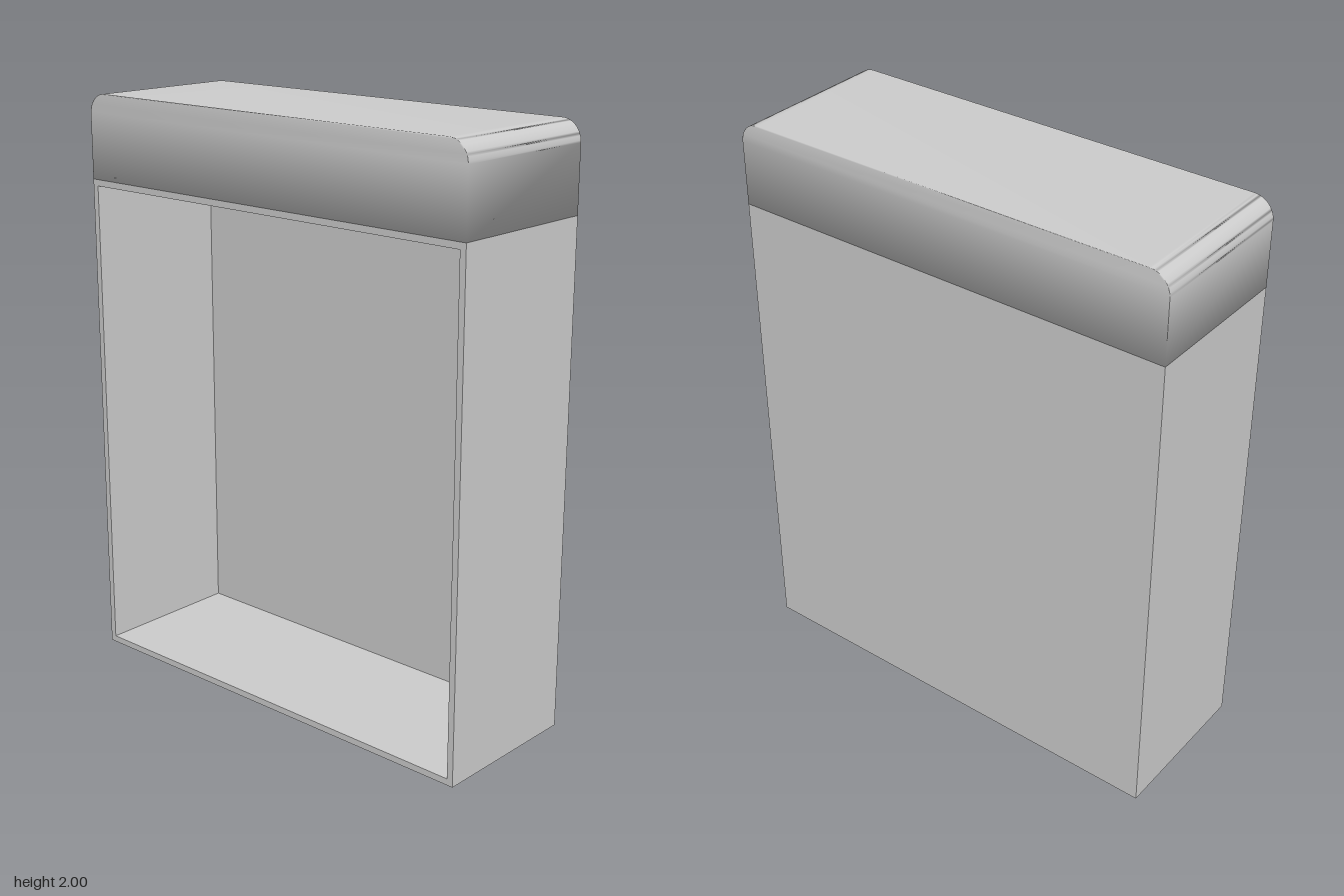
import * as THREE from 'three';
import { mergeVertices } from 'three/addons/utils/BufferGeometryUtils.js';

const W = 1.59, D = 0.55, BODY_H = 1.71, H = 2, WALL = 0.022, R = 0.07;

export function createModel() {
  const group = new THREE.Group();
  const material = new THREE.MeshStandardMaterial({ color: 0xcccccc });
  const add = (name, geometry, z) => {
    const mesh = new THREE.Mesh(geometry, material);
    mesh.name = name;
    mesh.position.z = z;
    group.add(mesh);
  };
  const rectangle = (path, inset) => {
    const x = W / 2 - inset, y0 = inset, y1 = BODY_H - inset;
    return path.moveTo(-x, y0).lineTo(x, y0).lineTo(x, y1).lineTo(-x, y1).closePath();
  };

  // Four walls around the open front
  const frame = rectangle(new THREE.Shape(), 0);
  frame.holes.push(rectangle(new THREE.Path(), WALL));
  add('cabinetWalls', new THREE.ExtrudeGeometry(frame, { depth: D, bevelEnabled: false }), -D / 2);

  // Thin back panel, set between the walls
  const back = new THREE.BoxGeometry(W - 2 * WALL, BODY_H - 2 * WALL, WALL);
  back.translate(0, BODY_H / 2, 0);
  add('backPanel', back, -D / 2 + WALL / 2);

  // Top block with rounded upper corners
  const x = W / 2;
  const top = new THREE.Shape();
  top.moveTo(-x, BODY_H).lineTo(x, BODY_H).lineTo(x, H - R);
  top.absarc(x - R, H - R, R, 0, Math.PI / 2, false);
  top.lineTo(-x + R, H);
  top.absarc(-x + R, H - R, R, Math.PI / 2, Math.PI, false);
  top.closePath();
  let cap = new THREE.ExtrudeGeometry(top, { depth: D, bevelEnabled: false, curveSegments: 8 });
  // Shared vertices give soft shading over the whole block
  cap.deleteAttribute('normal');
  cap.deleteAttribute('uv');
  cap.clearGroups();
  cap = mergeVertices(cap, 1e-4);
  cap.computeVertexNormals();
  add('roundedTop', cap, -D / 2);

  return group;
}
